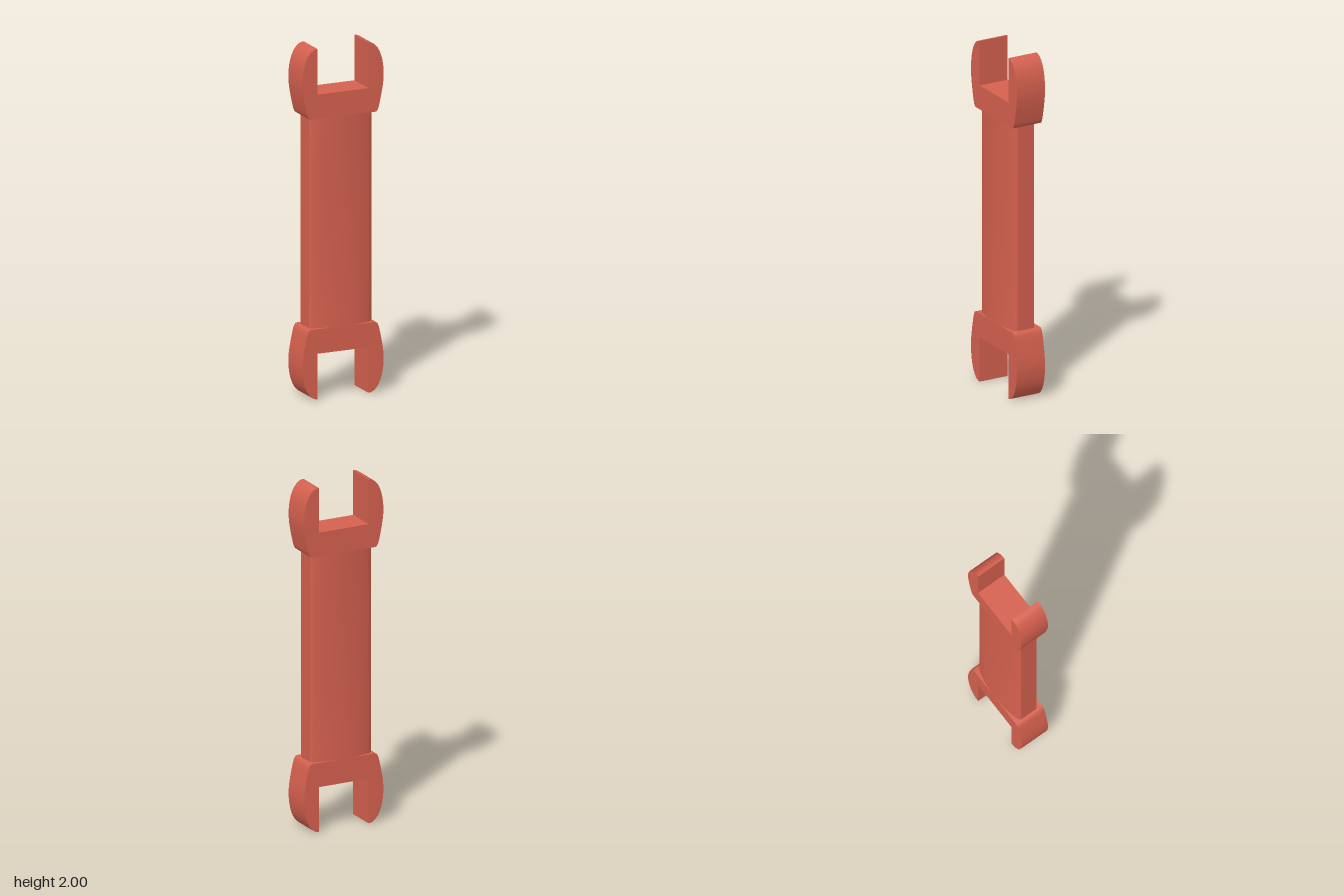
import * as THREE from 'three';
import { toCreasedNormals } from 'three/addons/utils/BufferGeometryUtils.js';

const material = new THREE.MeshStandardMaterial({ color: 0xd4604e });

// Open jaw: outline drawn around the wrench centre, slot facing up
function jawGeometry() {
  const s = new THREE.Shape();
  s.moveTo(-0.185, 0.6);
  s.lineTo(0.195, 0.6);
  s.bezierCurveTo(0.215, 0.6, 0.22, 0.635, 0.228, 0.67);
  s.bezierCurveTo(0.243, 0.74, 0.247, 0.77, 0.248, 0.81);
  s.bezierCurveTo(0.248, 0.92, 0.21, 1, 0.155, 1);
  s.lineTo(0.155, 0.74);
  s.lineTo(-0.155, 0.74);
  s.lineTo(-0.155, 1);
  s.bezierCurveTo(-0.21, 1, -0.248, 0.92, -0.248, 0.81);
  s.bezierCurveTo(-0.247, 0.77, -0.243, 0.74, -0.228, 0.67);
  s.bezierCurveTo(-0.22, 0.635, -0.215, 0.6, -0.195, 0.6);
  s.closePath();
  const g = new THREE.ExtrudeGeometry(s, { depth: 0.18, bevelEnabled: false, curveSegments: 14 });
  g.translate(0, 0, -0.09);
  return toCreasedNormals(g, 0.6);
}

// Handle: flat sides, bulging faces, slightly waisted in thickness
function handleGeometry() {
  const rows = 16, n = 20, halfW = 0.19, sideZ = 0.053;
  const positions = [], index = [];
  for (let j = 0; j <= rows; j++) {
    const t = (j / rows) * 2 - 1;
    const bulge = 0.08 + 0.0095 * t * t - sideZ;
    for (const side of [1, -1]) {
      for (let i = 0; i <= n; i++) {
        const c = Math.cos((i / n) * Math.PI);
        const z = sideZ + bulge * Math.pow(Math.max(0, 1 - c * c), 0.7);
        positions.push(side * halfW * c, t * 0.605, side * z);
      }
    }
  }
  const ring = 2 * (n + 1);
  for (let j = 0; j < rows; j++) {
    for (let i = 0; i < ring; i++) {
      const a = j * ring + i, b = j * ring + ((i + 1) % ring);
      index.push(a, a + ring, b, b, a + ring, b + ring);
    }
  }
  const g = new THREE.BufferGeometry();
  g.setAttribute('position', new THREE.Float32BufferAttribute(positions, 3));
  g.setIndex(index);
  return toCreasedNormals(g, 0.6);
}

export function createModel() {
  const model = new THREE.Group();
  model.name = 'doubleEndedWrench';

  const add = (name, geometry, turn = 0) => {
    const mesh = new THREE.Mesh(geometry, material);
    mesh.name = name;
    mesh.position.y = 1;
    mesh.rotation.z = turn;
    model.add(mesh);
  };

  const jaw = jawGeometry();
  add('upperJaw', jaw);
  add('lowerJaw', jaw, Math.PI);
  add('handle', handleGeometry());
  return model;
}
